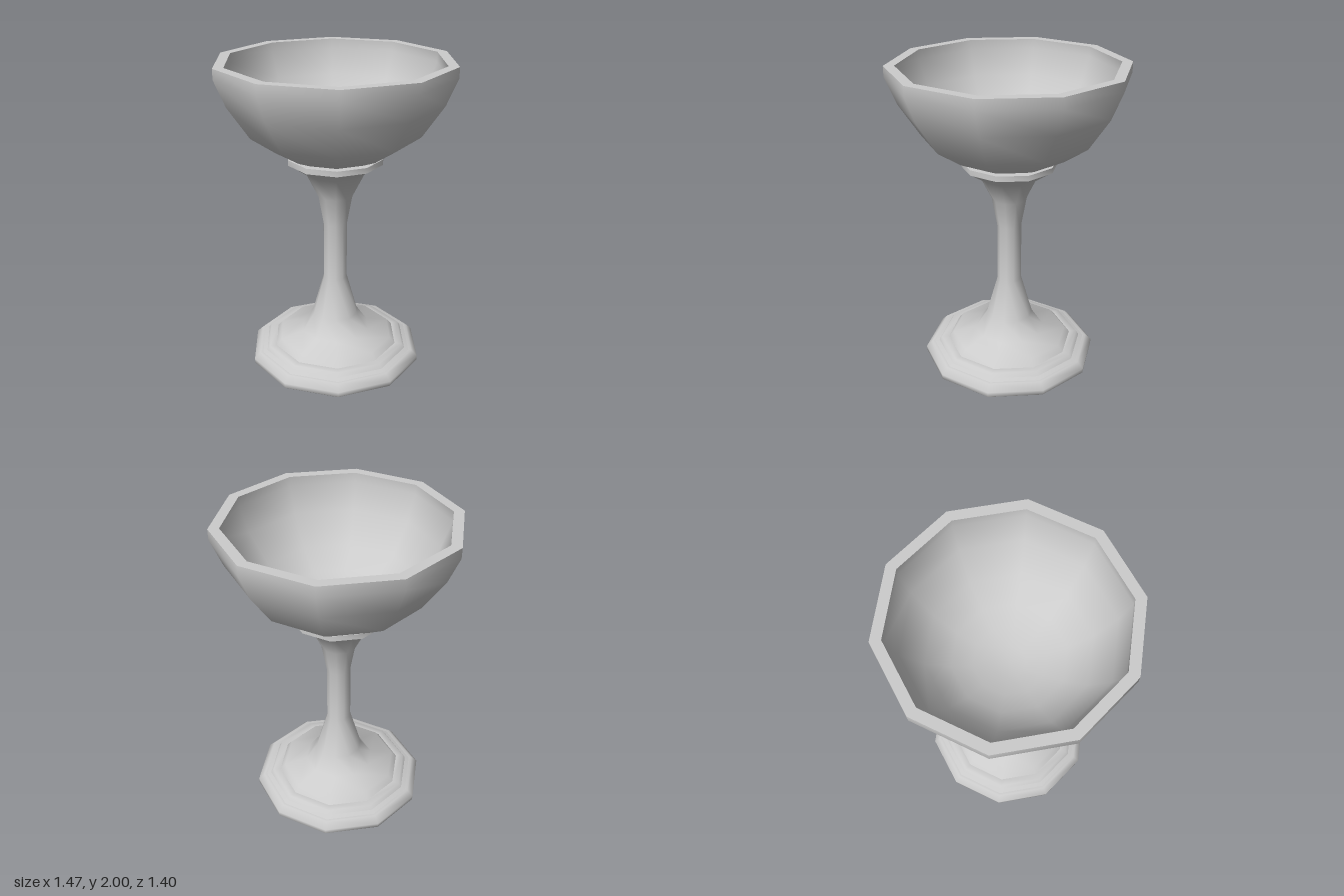
import * as THREE from 'three';
import { toCreasedNormals } from 'three/addons/utils/BufferGeometryUtils.js';

const SIDES = 10;
const material = new THREE.MeshStandardMaterial({ color: 0xcccccc, side: THREE.DoubleSide });

// Ten-sided turned part with a corner on the x axis; profile is [radius, height]
function turned(name, profile) {
  const points = profile.map(([r, y]) => new THREE.Vector2(r, y));
  const lathe = new THREE.LatheGeometry(points, SIDES, Math.PI / 2);
  const mesh = new THREE.Mesh(toCreasedNormals(lathe, 1.1), material);
  mesh.name = name;
  return mesh;
}

export function createModel() {
  const goblet = new THREE.Group();
  goblet.name = 'goblet';

  // Domed hollow under the foot
  goblet.add(turned('footUnderside', [
    [0, 0.17], [0.22, 0.16], [0.37, 0.13], [0.45, 0.1], [0.535, 0.07],
  ]));

  // Lowest step with a rounded lip
  goblet.add(turned('footLip', [
    [0.535, 0.07], [0.553, 0.008], [0.56, 0], [0.568, 0.008],
    [0.57, 0.04], [0.53, 0.08], [0.49, 0.077],
  ]));

  // Middle step
  goblet.add(turned('footStep', [[0.49, 0.077], [0.463, 0.115], [0.415, 0.113]]));

  // Top step flowing into the flared stem
  goblet.add(turned('stem', [
    [0.415, 0.113], [0.38, 0.153], [0.228, 0.19], [0.152, 0.303], [0.078, 0.57],
    [0.078, 0.955], [0.112, 1.143], [0.187, 1.295], [0.3, 1.372],
  ]));

  // Thin collar between stem and bowl
  goblet.add(turned('collar', [
    [0.2, 1.372], [0.305, 1.372], [0.305, 1.407], [0.2, 1.407],
  ]));

  // Open bowl: outside, flat rim, inside
  goblet.add(turned('bowl', [
    [0, 1.375], [0.13, 1.383], [0.265, 1.41], [0.377, 1.458], [0.534, 1.567],
    [0.667, 1.768], [0.735, 1.935], [0.735, 2], [0.67, 2], [0.67, 1.94],
    [0.61, 1.777], [0.488, 1.588], [0.345, 1.483], [0.22, 1.433], [0.1, 1.405], [0, 1.397],
  ]));

  return goblet;
}
